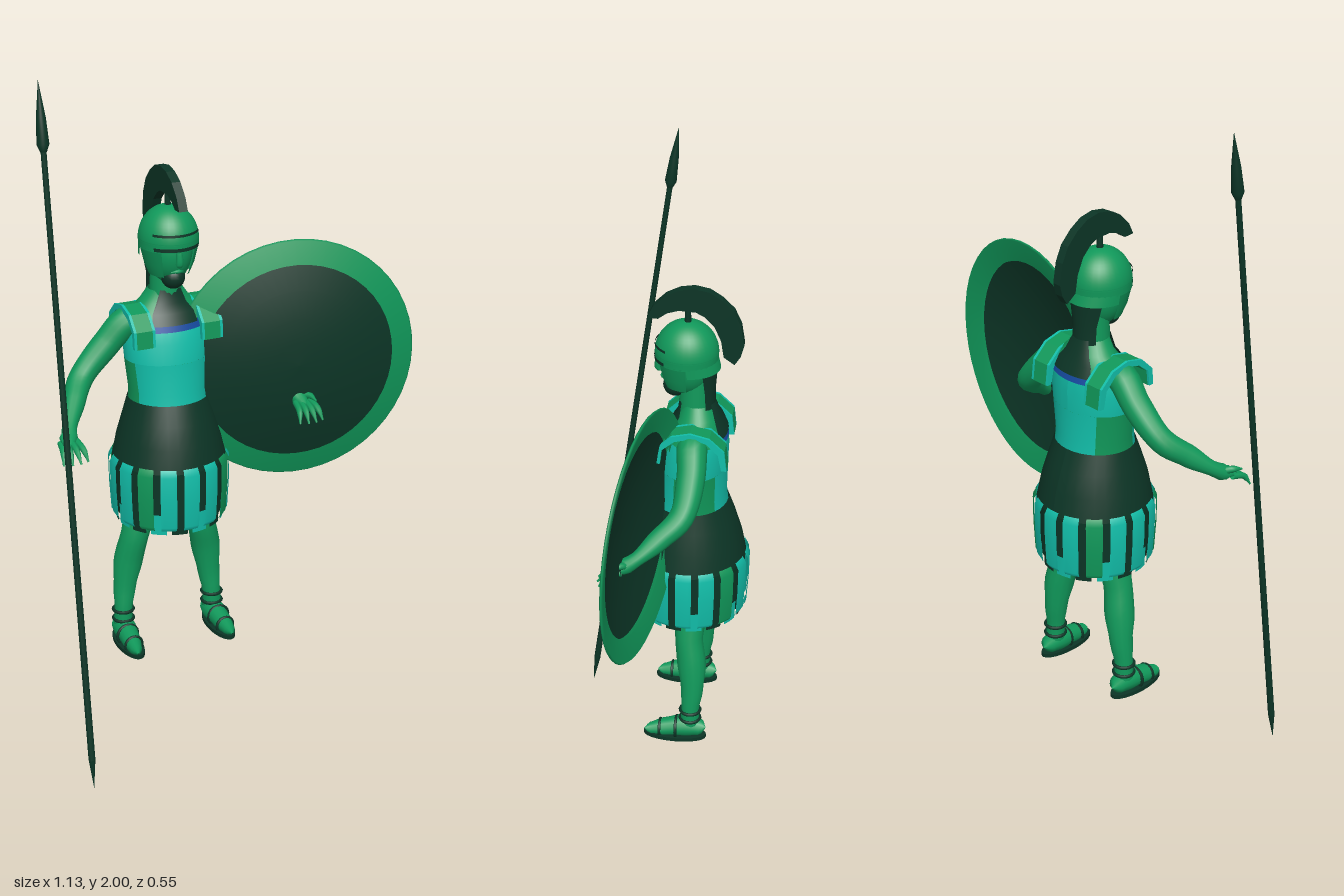
import * as THREE from 'three';

const paint = (name, color) => {
  const m = new THREE.MeshStandardMaterial({ color, side: THREE.DoubleSide });
  m.name = name;
  return m;
};

export function createModel() {
  const green = paint('green', 0x10985a), dark = paint('dark green', 0x0c3526);
  const teal = paint('teal', 0x12bfaa), blue = paint('blue', 0x154a9e);
  const model = new THREE.Group();
  const body = new THREE.Group();
  body.name = 'warrior';
  body.position.set(-0.155, 0, -0.095);
  model.add(body);

  const add = (parent, name, geo, mat, x = 0, y = 0, z = 0) => {
    const m = new THREE.Mesh(geo, mat);
    m.name = name;
    m.position.set(x, y, z);
    parent.add(m);
    return m;
  };

  // Rounded limb: stations are [x, y, z, radius]
  const limb = (pts, n = 20, sides = 14) => {
    const curve = new THREE.CatmullRomCurve3(pts.map(p => new THREE.Vector3(p[0], p[1], p[2])));
    const g = new THREE.TubeGeometry(curve, n, 1, sides, false);
    const pos = g.attributes.position, v = new THREE.Vector3();
    for (let i = 0; i <= n; i++) {
      const u = i / n, c = curve.getPointAt(u);
      const t = curve.getUtoTmapping(u) * (pts.length - 1);
      const k = Math.min(Math.floor(t), pts.length - 2);
      const r = THREE.MathUtils.lerp(pts[k][3], pts[k + 1][3], THREE.MathUtils.smoothstep(t - k, 0, 1));
      for (let j = 0; j <= sides; j++) {
        const q = i * (sides + 1) + j;
        v.fromBufferAttribute(pos, q).sub(c).multiplyScalar(r).add(c);
        pos.setXYZ(q, v.x, v.y, v.z);
      }
    }
    return g;
  };

  // Elliptical shell: rows are [y, rx, rz, zCentre], bottom to top, angle 0 faces front
  const shell = (rows, a0 = -Math.PI, a1 = Math.PI, n = 32, grow = 0) => {
    const p = [], idx = [];
    rows.forEach(([y, rx, rz, cz = 0]) => {
      for (let j = 0; j <= n; j++) {
        const a = a0 + (a1 - a0) * j / n;
        p.push((rx + grow) * Math.sin(a), y, cz + (rz + grow) * Math.cos(a));
      }
    });
    for (let i = 0; i < rows.length - 1; i++) for (let j = 0; j < n; j++) {
      const a = i * (n + 1) + j, b = a + n + 1;
      idx.push(a, a + 1, b + 1, a, b + 1, b);
    }
    const g = new THREE.BufferGeometry();
    g.setAttribute('position', new THREE.Float32BufferAttribute(p, 3));
    g.setIndex(idx);
    g.computeVertexNormals();
    return g;
  };

  // Side profile in (z, y) extruded across x
  const across = (pts, width) => {
    const g = new THREE.ExtrudeGeometry(new THREE.Shape(pts.map(([z, y]) => new THREE.Vector2(-z, y))),
      { depth: width, bevelEnabled: false });
    return g.translate(0, 0, -width / 2).rotateY(Math.PI / 2);
  };

  // Torso and cuirass
  const low = [[0.98, 0.118, 0.112], [1.05, 0.116, 0.102, -0.002], [1.14, 0.126, 0.101, -0.005]];
  const high = [[1.14, 0.126, 0.101, -0.005], [1.2, 0.13, 0.098, -0.01], [1.24, 0.122, 0.088, -0.015]];
  add(body, 'cuirassFront', shell(low, -1.15, 1.15), teal);
  add(body, 'cuirassBack', shell(low, Math.PI - 0.75, Math.PI + 0.75), teal);
  add(body, 'cuirassChest', shell(high), teal);
  for (const s of [-1, 1]) {
    const mid = s > 0 ? [1.15, Math.PI - 0.75] : [0.75 - Math.PI, -1.15];
    add(body, 'cuirassSide', shell(low, mid[0], mid[1]), green);
  }
  add(body, 'shoulders', shell([[1.24, 0.122, 0.088, -0.015], [1.275, 0.11, 0.072, -0.018],
    [1.305, 0.075, 0.056, -0.02], [1.34, 0.05, 0.045, -0.015]]), green);
  const trim = [[1.232, 0.126, 0.092, -0.014], [1.256, 0.119, 0.084, -0.015]];
  add(body, 'frontTrim', shell(trim, -0.7, 0.7, 16), blue);
  add(body, 'backTrim', shell(trim, Math.PI - 0.8, Math.PI + 0.8, 16), blue);
  const collar = [[1.25, 0.118, 0.085, -0.015], [1.28, 0.106, 0.07, -0.017],
    [1.305, 0.076, 0.056, -0.019], [1.345, 0.05, 0.046, -0.015]];
  add(body, 'frontCollar', shell(collar, -0.6, 0.6, 16, 0.005), dark);
  add(body, 'backCollar', shell(collar, Math.PI - 0.6, Math.PI + 0.6, 16, 0.005), dark);
  const arch = [[0.09, 1.2], [0.086, 1.25], [0.045, 1.29], [-0.01, 1.303], [-0.065, 1.29], [-0.108, 1.25], [-0.115, 1.19],
    [-0.1, 1.19], [-0.09, 1.24], [-0.055, 1.275], [-0.01, 1.287], [0.035, 1.275], [0.07, 1.245], [0.075, 1.2]];
  for (const s of [-1, 1]) {
    add(body, 'shoulderStrap', across(arch, 0.05), green, s * 0.103);
    for (const e of [-0.028, 0.028]) add(body, 'strapEdge', across(arch, 0.008), teal, s * 0.103 + e, 0.001);
  }

  // Skirt, hanging strips and fringe
  add(body, 'skirt', shell([[0.83, 0.166, 0.166], [0.9, 0.152, 0.152], [0.96, 0.135, 0.133], [1.02, 0.119, 0.11]]), dark);
  add(body, 'innerSkirt', shell([[0.665, 0.158, 0.158], [0.84, 0.164, 0.164]]), dark);
  const step = Math.PI / 8;
  for (let i = 0; i < 16; i++) {
    const a = i * step;
    const strip = [[0.652, 0.163, 0.163], [0.665, 0.171, 0.171], [0.75, 0.176, 0.176], [0.825, 0.177, 0.177], [0.845, 0.166, 0.166]];
    add(body, 'skirtStrip', shell(strip, a - 0.135, a + 0.135, 5), i % 4 === 2 ? green : teal);
    const fringe = [[0.637, 0.157, 0.157], [0.7, 0.16, 0.16]];
    add(body, 'skirtFringe', shell(fringe, a + step / 2 - 0.15, a + step / 2 + 0.15, 4), i % 2 ? dark : teal);
  }

  // Limbs on both sides
  for (const s of [-1, 1]) {
    add(body, 'leg', limb([[s * 0.065, 0.9, 0, 0.07], [s * 0.075, 0.75, 0, 0.062], [s * 0.092, 0.64, -0.012, 0.046],
      [s * 0.108, 0.575, -0.012, 0.042], [s * 0.124, 0.5, -0.022, 0.044], [s * 0.136, 0.41, -0.026, 0.034],
      [s * 0.143, 0.34, -0.022, 0.027], [s * 0.145, 0.27, -0.022, 0.03]], 28), green);
    add(body, 'foot', limb([[s * 0.145, 0.268, -0.07, 0.002], [s * 0.145, 0.27, -0.055, 0.026], [s * 0.145, 0.274, -0.01, 0.034],
      [s * 0.148, 0.264, 0.05, 0.028], [s * 0.151, 0.254, 0.1, 0.018], [s * 0.152, 0.252, 0.117, 0.002]]), green);
    const sole = add(body, 'sandalSole', new THREE.CylinderGeometry(1, 1, 0.012, 24), dark, s * 0.147, 0.241, 0.024);
    sole.scale.set(0.036, 1, 0.096);
    [0.305, 0.335].forEach(y => {
      const strap = add(body, 'ankleStrap', new THREE.TorusGeometry(0.03, 0.005, 6, 20), dark, s * 0.144, y, -0.022);
      strap.rotation.x = Math.PI / 2;
    });
    [[0.02, 0.032, 0.268], [0.07, 0.026, 0.259]].forEach(([z, r, y]) =>
      add(body, 'footStrap', new THREE.TorusGeometry(r, 0.005, 6, 18), dark, s * 0.148, y, z));

    add(body, 'arm', limb([[s * 0.085, 1.252, -0.015, 0.025], [s * 0.12, 1.25, -0.015, 0.044], [s * 0.18, 1.19, -0.02, 0.041],
      [s * 0.262, 1.108, -0.004, 0.036], [s * 0.305, 1.06, 0.05, 0.032], [s * 0.343, 1.01, 0.112, 0.021],
      [s * 0.355, 0.99, 0.145, 0.024], [s * 0.36, 0.98, 0.168, 0.008]], 28), green);
    for (let f = 0; f < 4; f++) {
      const x = 0.338 + f * 0.015, tip = x + (f - 1.5) * 0.009;
      add(body, 'finger', limb([[s * x, 0.987, 0.15, 0.01], [s * (x + tip) / 2, 0.975, 0.19, 0.009],
        [s * tip, 0.945, 0.222 - Math.abs(f - 1.5) * 0.008, 0.003]], 8, 8), green);
    }
    add(body, 'thumb', limb([[s * 0.352, 0.995, 0.13, 0.012], [s * 0.378, 1.005, 0.155, 0.01], [s * 0.386, 0.998, 0.185, 0.003]], 8, 8), green);
  }

  // Head and beard
  add(body, 'neck', new THREE.CylinderGeometry(0.042, 0.048, 0.14, 20), green, 0, 1.36, -0.008);
  const head = add(body, 'head', new THREE.SphereGeometry(1, 28, 20), green, 0, 1.465, 0.018);
  head.scale.set(0.066, 0.1, 0.074);
  const beard = add(body, 'beard', new THREE.SphereGeometry(1, 18, 12), dark, 0, 1.388, 0.048);
  beard.scale.set(0.034, 0.034, 0.036);
  add(body, 'lips', limb([[-0.018, 1.411, 0.078, 0.002], [0, 1.414, 0.086, 0.006], [0.018, 1.411, 0.078, 0.002]], 8, 8), green);
  add(body, 'nose', limb([[0, 1.5, 0.086, 0.006], [0, 1.465, 0.096, 0.01], [0, 1.438, 0.097, 0.012], [0, 1.43, 0.088, 0.002]], 10, 8), green);
  add(body, 'hair', shell([[1.33, 0.05, 0.048, -0.015], [1.38, 0.05, 0.05, -0.012], [1.45, 0.068, 0.075, 0.008]],
    Math.PI - 1, Math.PI + 1, 14, 0.004), dark);

  // Helmet: dome, brow, cheek guards and neck guard
  const dome = add(body, 'helmetDome', new THREE.SphereGeometry(1, 32, 14, 0, Math.PI * 2, 0, Math.PI / 2), green, 0, 1.495, 0.017);
  dome.scale.set(0.085, 0.096, 0.091);
  const rim = [[1.475, 0.084, 0.09, 0.017], [1.5, 0.085, 0.091, 0.017]];
  add(body, 'helmetRim', shell(rim), green);
  add(body, 'browLine', shell([[1.52, 0.084, 0.09, 0.017], [1.527, 0.083, 0.089, 0.017]], -0.95, 0.95, 16, 0.001), dark);
  add(body, 'eyeSlot', shell([[1.478, 0.084, 0.09, 0.017], [1.488, 0.084, 0.09, 0.017]], -0.9, 0.9, 16, 0.002), dark);
  const guard = [[1.395, 0.058, 0.064, 0.016], [1.43, 0.072, 0.078, 0.017], [1.48, 0.084, 0.09, 0.017]];
  for (const s of [-1, 1]) add(body, 'cheekGuard', shell(guard, s * 1.15 - 0.5, s * 1.15 + 0.5, 10), green);
  add(body, 'neckGuard', shell([[1.45, 0.083, 0.092, 0.012], [1.48, 0.084, 0.09, 0.017]], Math.PI - 1.5, Math.PI + 1.5, 20), green);

  // Crest plume with its holder
  const outer = [[0.129, 1.6], [0.112, 1.635], [0.077, 1.67], [0.038, 1.69], [-0.003, 1.697], [-0.045, 1.689], [-0.082, 1.666],
    [-0.115, 1.633], [-0.135, 1.59], [-0.145, 1.53], [-0.136, 1.495], [-0.119, 1.468]];
  const inner = [[-0.088, 1.49], [-0.08, 1.54], [-0.06, 1.585], [-0.033, 1.612], [-0.008, 1.625], [0.04, 1.627], [0.072, 1.617], [0.098, 1.598]];
  add(body, 'crest', across([...outer, ...inner], 0.026), dark);
  add(body, 'crestHolder', new THREE.CylinderGeometry(0.008, 0.01, 0.06, 8), dark, 0, 1.605, 0.015);

  // Domed round shield
  const shield = new THREE.Group();
  shield.name = 'shield';
  shield.position.set(0.204, 1.1, -0.007);
  shield.rotation.y = -0.176;
  model.add(shield);
  const turned = pts => new THREE.LatheGeometry(pts.map(p => new THREE.Vector2(p[0], p[1])), 48).rotateX(Math.PI / 2);
  add(shield, 'shieldRim', turned([[0.292, 0.012], [0.358, -0.005], [0.362, 0], [0.358, 0.005], [0.292, 0.024]]), green);
  add(shield, 'shieldFace', turned([[0.294, 0.022], [0.22, 0.042], [0.14, 0.056], [0.07, 0.063], [0, 0.065]]), dark);

  // Leaning spear
  const spear = new THREE.Group();
  spear.name = 'spear';
  spear.position.set(-0.548, 1, 0.137);
  spear.rotation.x = -Math.atan(0.1375);
  model.add(spear);
  add(spear, 'spearShaft', new THREE.CylinderGeometry(0.008, 0.01, 1.75, 12), dark, 0, -0.045, 0);
  add(spear, 'spearHead', turned([[0.009, 0], [0.017, 0.02], [0.013, 0.09], [0, 0.189]]).rotateX(-Math.PI / 2), dark, 0, 0.82, 0);
  add(spear, 'spearButt', new THREE.ConeGeometry(0.01, 0.09, 12).rotateX(Math.PI), dark, 0, -0.964, 0);
  return model;
}
